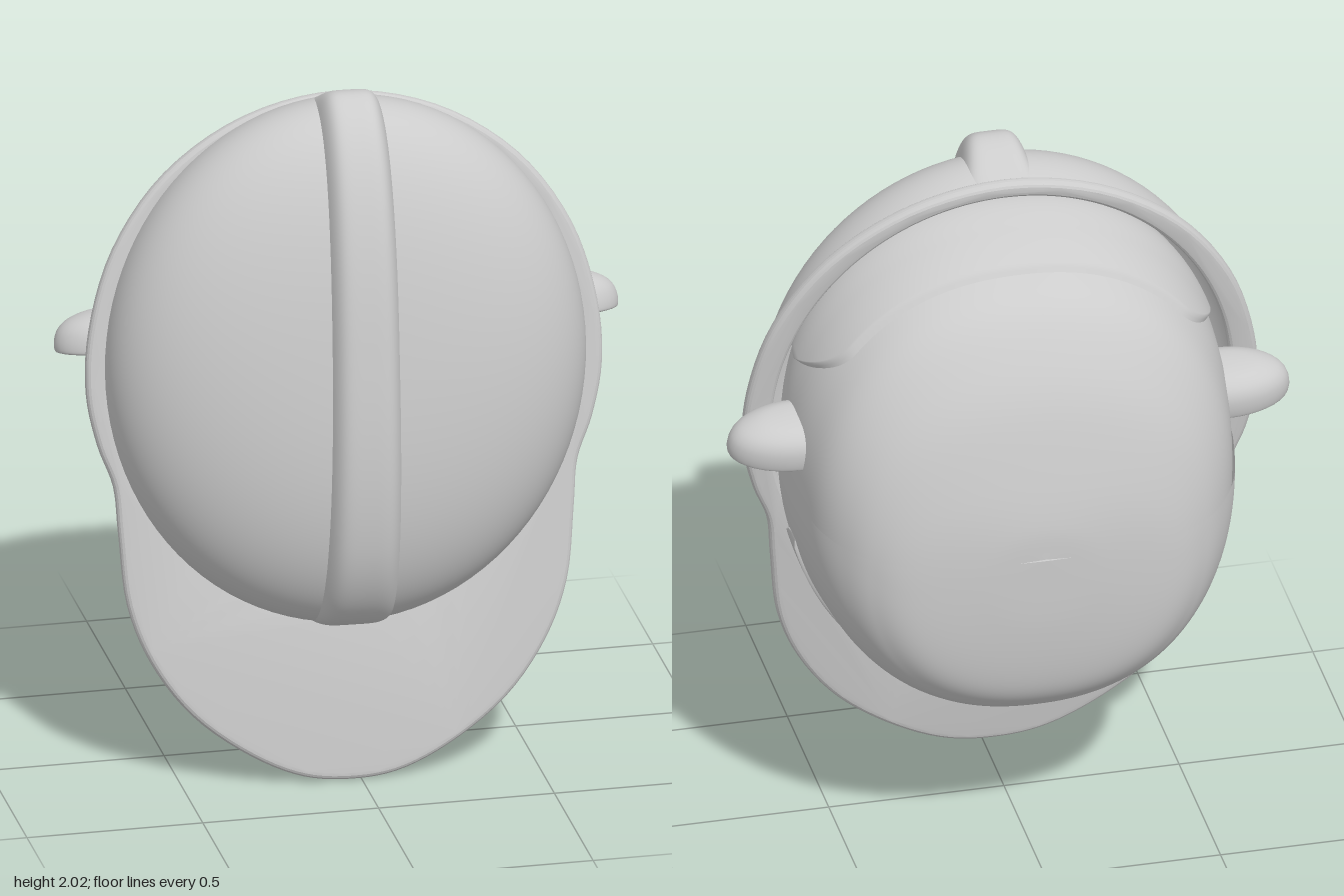
import * as THREE from 'three';
import { mergeVertices, toCreasedNormals } from 'three/addons/utils/BufferGeometryUtils.js';

const { PI, cos, sin, abs, min, max, pow, sqrt, sign } = Math;
const material = new THREE.MeshStandardMaterial({ color: 0xcccccc, side: THREE.DoubleSide });
const lerp = THREE.MathUtils.lerp;
const smooth = THREE.MathUtils.smoothstep;

function add(parent, name, geometry) {
  const mesh = new THREE.Mesh(geometry, material);
  mesh.name = name;
  parent.add(mesh);
  return mesh;
}

// Smooth surface from a rule f(u, v) -> [x, y, z], u and v in 0..1
function surface(f, nu, nv) {
  const pos = [], idx = [];
  for (let j = 0; j <= nv; j++)
    for (let i = 0; i <= nu; i++) pos.push(...f(i / nu, j / nv));
  for (let j = 0; j < nv; j++)
    for (let i = 0; i < nu; i++) {
      const a = j * (nu + 1) + i, b = a + nu + 1;
      idx.push(a, a + 1, b + 1, a, b + 1, b);
    }
  let geo = new THREE.BufferGeometry();
  geo.setAttribute('position', new THREE.Float32BufferAttribute(pos, 3));
  geo.setIndex(idx);
  geo = mergeVertices(geo, 1e-5);
  geo.computeVertexNormals();
  return geo;
}

// Head cross-sections from chin to crown: z, half width, top y, bottom y
const sections = [
  [-0.502, 0, 1.03, 1.03], [-0.496, 0.18, 1.13, 0.8], [-0.468, 0.37, 1.27, 0.61],
  [-0.415, 0.475, 1.46, 0.525], [-0.35, 0.54, 1.595, 0.485], [-0.27, 0.585, 1.705, 0.465],
  [-0.17, 0.61, 1.77, 0.46], [-0.05, 0.625, 1.82, 0.46], [0.08, 0.62, 1.85, 0.475],
  [0.2, 0.57, 1.8, 0.54], [0.3, 0.44, 1.6, 0.72], [0.35, 0.25, 1.4, 0.92], [0.37, 0, 1.15, 1.15],
];
const curve = (pts) => new THREE.CatmullRomCurve3(pts, false, 'catmullrom', 0.5);
const upperCurve = curve(sections.map(([z, w, t]) => new THREE.Vector3(z, w, t)));
const lowerCurve = curve(sections.map(([z, , , b]) => new THREE.Vector3(z, b, 0)));

function sectionAt(t) {
  const p = upperCurve.getPoint(t), q = lowerCurve.getPoint(t);
  return { z: p.x, w: max(p.y, 0), yc: (p.z + q.y) / 2, h: max((p.z - q.y) / 2, 0) };
}
function paramOfZ(z) {
  let lo = 0, hi = 1;
  for (let i = 0; i < 24; i++) {
    const m = (lo + hi) / 2;
    if (upperCurve.getPoint(m).x < z) lo = m; else hi = m;
  }
  return lo;
}
function headPoint(s, a, offset) {
  const c = cos(a), n = sin(a), p = 2.25;
  const r = pow(pow(abs(c), p) + pow(abs(n), p), -1 / p);
  const k = 1 + offset / 0.6;
  const x = s.w * k * r * c, z = s.z < 0 ? s.z - offset * smooth(-s.z, 0.3, 0.5) : s.z;
  let y = s.yc + s.h * k * r * n;
  // Mouth hollow
  if (y < 0.75) {
    const d = Math.hypot(x / 0.27, (z + 0.25 - 0.4 * x * x) / 0.055);
    y += 0.07 * (1 - smooth(d, 0.72, 1.05));
  }
  return [x, y, z];
}
// Angle at which the jaw line crosses a section
function jawAngle(s) {
  const y = s.z < -0.1 ? lerp(1.03, 1.11, (s.z + 0.5) / 0.4) : lerp(1.11, 1.18, smooth(s.z, -0.1, 0.08));
  const n = max(-0.9, min(0.9, (y - s.yc) / max(s.h, 0.01)));
  return Math.atan2(n, pow(1 - pow(abs(n), 2.25), 1 / 2.25));
}
// Raised patch on the head between two z limits, over angles a0..a1
function headPatch(a0, a1, zLow, zHigh, base, raise) {
  return surface((u, v) => {
    const k = 1 - abs(2 * u - 1);
    const z = lerp(zLow(k), zHigh(k), v);
    const edge = min(1, 28 * min(v, 1 - v), 28 * k);
    return headPoint(sectionAt(paramOfZ(z)), lerp(a0, a1, u), base + raise * edge);
  }, 110, 56);
}

function buildHead() {
  const head = new THREE.Group();
  head.name = 'head';
  add(head, 'skull', surface((u, v) => {
    const s = sectionAt(v), a = jawAngle(s) - 0.06;
    return headPoint(s, lerp(a, PI - a, u), 0);
  }, 80, 90));
  add(head, 'jaw', surface((u, v) => {
    const s = sectionAt(v), a = jawAngle(s);
    return headPoint(s, lerp(PI - a, 2 * PI + a, u), 0.008);
  }, 170, 130));
  add(head, 'hair', headPatch(0.4, PI - 0.4,
    (k) => 0.08 - 0.26 * pow(sin(min(1, k / 0.3) * PI / 2), 0.75), () => 0.22, 0, 0.013));
  add(head, 'facePanel', headPatch(PI + 0.29, 2 * PI - 0.29,
    (k) => -0.07 - 0.1 * pow(k, 0.8), (k) => -0.07 + 0.17 * sqrt(sin(min(1, k / 0.22) * PI / 2)), 0.006, 0.01));

  // Eyes and nose
  for (const side of [-1, 1])
    add(head, 'eye', new THREE.SphereGeometry(0.032, 20, 14)).position.set(side * 0.215, 0.475, 0.0);
  const nose = add(head, 'nose', new THREE.CapsuleGeometry(0.03, 0.05, 8, 20));
  nose.position.set(0, 0.435, -0.09);
  nose.rotation.x = 0.12;

  // Ears: domed cups, hollow underneath
  const profile = [[0, 0.1], [0.4, 0.09], [0.7, 0.04], [0.86, -0.01], [0.95, 0], [1, 0.06],
    [1, 0.3], [0.94, 0.56], [0.8, 0.77], [0.55, 0.93], [0.25, 0.99], [0, 1]];
  const spline = new THREE.SplineCurve(profile.map(([r, y]) => new THREE.Vector2(r, y)));
  const points = spline.getPoints(44).map((p) => new THREE.Vector2(max(p.x, 0), p.y));
  for (const side of [-1, 1]) {
    const ear = add(head, 'ear', new THREE.LatheGeometry(points, 40));
    ear.scale.set(0.19, 0.115, 0.11);
    ear.position.set(side * 0.61, 1.22, -0.045);
    ear.rotation.x = -0.22;
  }
  return head;
}

function buildHat() {
  const hat = new THREE.Group();
  hat.name = 'hat';
  const W = 0.68, H = 0.755, D = 0.335, e = 2 / 2.4;
  // The dome leans up, more so in its upper half
  const lean = (y, z) => y + z * (0.2 + 0.1 * y / H);

  // Domed shell
  add(hat, 'shell', surface((u, v) => {
    const a = u * 2 * PI, el = v * PI / 2;
    const rho = pow(max(cos(el), 0), e), z = D * pow(sin(el), e);
    return [W * rho * cos(a), lean(H * rho * sin(a), z), z];
  }, 96, 40));

  // Raised centre ridge, wider toward the bill and fading at both ends
  add(hat, 'ridge', surface((u, v) => {
    const t = lerp(PI, 0, v), c = cos(t), s = max(sin(t), 0);
    const w = 2 * u - 1, side = pow(abs(w), 5);
    const height = 0.048 * smooth(v, -0.05, 0.3) * (1 - smooth(v, 0.86, 1));
    const lift = height * (1 - side) - 0.012 * side;
    const y = (H + lift) * sign(c) * pow(abs(c), e);
    const z = (D + lift) * pow(s, e);
    return [w * lerp(0.11, 0.088, v), lean(y, z), z];
  }, 28, 90));

  // Brim: narrow around the top, long bill below
  const half = [[0, 0.765], [0.27, 0.71], [0.5, 0.56], [0.65, 0.35], [0.72, 0.12], [0.73, -0.06],
    [0.7, -0.21], [0.657, -0.33], [0.645, -0.46], [0.622, -0.675], [0.56, -0.84], [0.445, -1.0],
    [0.275, -1.13], [0.13, -1.195], [0, -1.21]];
  const loop = [...half, ...half.slice(1, -1).reverse().map(([x, y]) => [-x, y])].reverse();
  const ring = new THREE.CatmullRomCurve3(loop.map(([x, y]) => new THREE.Vector3(x, y, 0)), true);
  const brimShape = new THREE.Shape(ring.getPoints(140).slice(0, -1).map((p) => new THREE.Vector2(p.x, p.y)));
  const hole = new THREE.Path();
  hole.absellipse(0, 0, 0.65, 0.715, 0, 2 * PI, true);
  brimShape.holes.push(hole);
  const brim = new THREE.ExtrudeGeometry(brimShape, {
    depth: 0.008, curveSegments: 70, bevelEnabled: true,
    bevelThickness: 0.018, bevelSize: 0.02, bevelOffset: -0.02, bevelSegments: 4,
  });
  brim.translate(0, 0, -0.004);
  add(hat, 'brim', toCreasedNormals(brim, 0.18));

  // Worn slightly askew
  hat.position.set(-0.014, 1.2, 0.11);
  hat.rotation.set(-0.135, -0.02, -0.015);
  return hat;
}

export function createModel() {
  const model = new THREE.Group();
  model.name = 'headWithHardHat';
  model.add(buildHead(), buildHat());
  return model;
}
